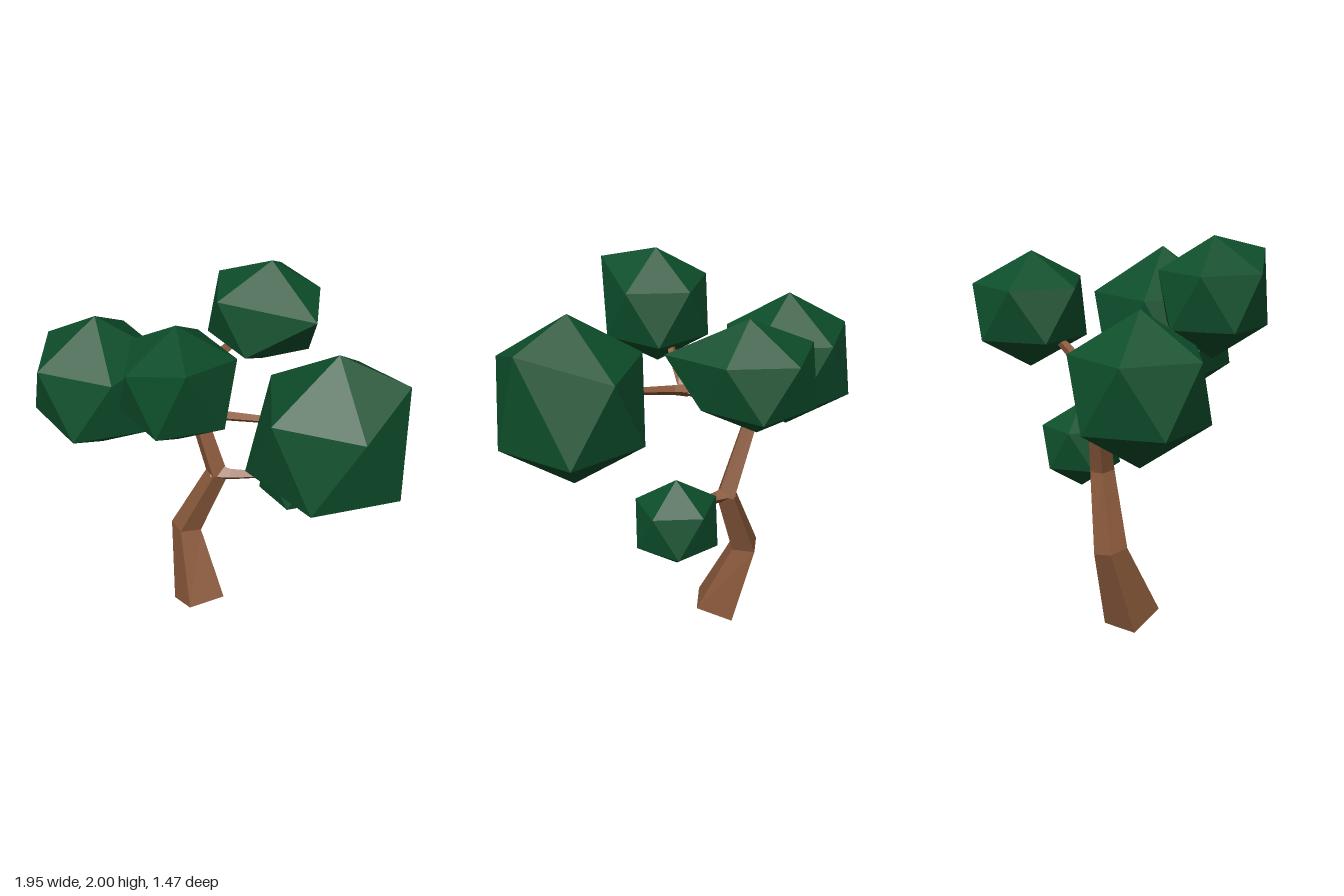
import * as THREE from 'three';

const bark = new THREE.MeshStandardMaterial({ color: 0x8b5a3c, flatShading: true });
const leaf = new THREE.MeshStandardMaterial({ color: 0x0e4f2c, flatShading: true });

function facetedMesh(name, vertices, faces, material) {
  const geometry = new THREE.BufferGeometry().setFromPoints(vertices);
  geometry.setIndex(faces);
  const flat = geometry.toNonIndexed();
  flat.computeVertexNormals();
  const mesh = new THREE.Mesh(flat, material);
  mesh.name = name;
  return mesh;
}

// Four-sided tapering limb through stations [x, y, z, half diagonal]
function limb(name, stations, ref = [1, 0, 0]) {
  const pts = stations.map(([x, y, z]) => new THREE.Vector3(x, y, z));
  const vertices = [], faces = [], last = pts.length - 1;
  pts.forEach((p, i) => {
    const t = new THREE.Vector3();
    if (i > 0) t.add(p.clone().sub(pts[i - 1]).normalize());
    if (i < last) t.add(pts[i + 1].clone().sub(p).normalize());
    t.normalize();
    const u = new THREE.Vector3(...ref).projectOnPlane(t).normalize();
    const v = t.clone().cross(u);
    for (const [a, b] of [[1, 0], [0, 1], [-1, 0], [0, -1]]) {
      vertices.push(p.clone().addScaledVector(u, a * stations[i][3]).addScaledVector(v, b * stations[i][3]));
    }
  });
  for (let i = 0; i < last; i++) {
    for (let j = 0; j < 4; j++) {
      const a = i * 4 + j, b = i * 4 + (j + 1) % 4;
      faces.push(a, b, b + 4, a, b + 4, a + 4);
    }
  }
  const e = last * 4;
  faces.push(0, 2, 1, 0, 3, 2, e, e + 1, e + 2, e, e + 2, e + 3);
  return facetedMesh(name, vertices, faces, bark);
}

// Icosahedral leaf clump with upright poles: ring radius r, half height h.
// moved replaces single corners: 0 top, 1-5 upper ring, 6-10 lower ring, 11 bottom
function clump(name, [x, y, z], r, h, moved = {}) {
  const vertices = [new THREE.Vector3(x, y + h, z)];
  for (const [offset, side] of [[0, 1], [0.5, -1]]) {
    for (let k = 0; k < 5; k++) {
      const a = (k + offset) * Math.PI * 0.4;
      vertices.push(new THREE.Vector3(x + r * Math.sin(a), y + side * h * 0.447, z - r * Math.cos(a)));
    }
  }
  vertices.push(new THREE.Vector3(x, y - h, z));
  for (const key in moved) vertices[key].set(...moved[key]);
  const faces = [];
  for (let k = 0; k < 5; k++) {
    const n = (k + 1) % 5, up = 1 + k, upNext = 1 + n, low = 6 + k, lowNext = 6 + n;
    faces.push(0, upNext, up, upNext, low, up, lowNext, low, upNext, lowNext, 11, low);
  }
  return facetedMesh(name, vertices, faces, leaf);
}

export function createModel() {
  const tree = new THREE.Group();
  tree.name = 'tree';

  // Crooked trunk and its branches
  tree.add(
    limb('trunk', [
      [-0.145, 0.04, 0.06, 0.145], [-0.255, 0.435, -0.05, 0.085],
      [-0.09, 0.81, -0.09, 0.062], [-0.24, 1.24, -0.12, 0.045], [-0.255, 1.29, -0.13, 0.035],
    ]),
    limb('lowerBranch', [
      [-0.11, 0.81, -0.09, 0.055], [-0.01, 0.815, -0.09, 0.033],
      [0.16, 0.84, -0.11, 0.02], [0.3, 0.85, -0.17, 0.015],
    ], [0, 1, 0]),
    limb('leftBranch', [
      [-0.23, 1.26, -0.13, 0.045], [-0.34, 1.265, -0.11, 0.03], [-0.58, 1.31, 0, 0.018],
    ], [0, 1, 0]),
    limb('backBranch', [
      [-0.25, 1.25, -0.12, 0.045], [-0.21, 1.32, -0.18, 0.035],
      [-0.13, 1.44, -0.25, 0.026], [0, 1.55, -0.38, 0.016],
    ]),
    limb('frontBranch', [
      [-0.25, 1.25, -0.13, 0.045], [-0.16, 1.28, -0.05, 0.036],
      [0, 1.35, 0.15, 0.035], [-0.02, 1.45, 0.23, 0.024], [-0.07, 1.6, 0.38, 0.016],
    ], [0, 1, 0]),
    limb('rightBranch', [
      [-0.02, 1.34, 0.13, 0.035], [0.06, 1.355, 0.155, 0.026],
      [0.26, 1.395, 0.18, 0.02], [0.5, 1.42, 0.23, 0.015],
    ], [0, 1, 0]),
  );

  // Leaf clumps
  tree.add(
    clump('leftFoliage', [-0.66, 1.36, 0.08], 0.334, 0.373),
    clump('frontFoliage', [-0.08, 1.694, 0.46], 0.273, 0.306, { 3: [0.07, 1.92, 0.73] }),
    clump('rightFoliage', [0.62, 1.42, 0.247], 0.373, 0.447, {
      2: [0.95, 1.745, 0.21], 9: [0.217, 1.205, 0.36],
    }),
    clump('backFoliage', [0.035, 1.62, -0.45], 0.285, 0.29, {
      0: [0.08, 1.91, -0.44], 3: [0.39, 1.74, -0.2],
    }),
    clump('lowerFoliage', [0.328, 0.84, -0.2], 0.208, 0.232),
  );
  return tree;
}
